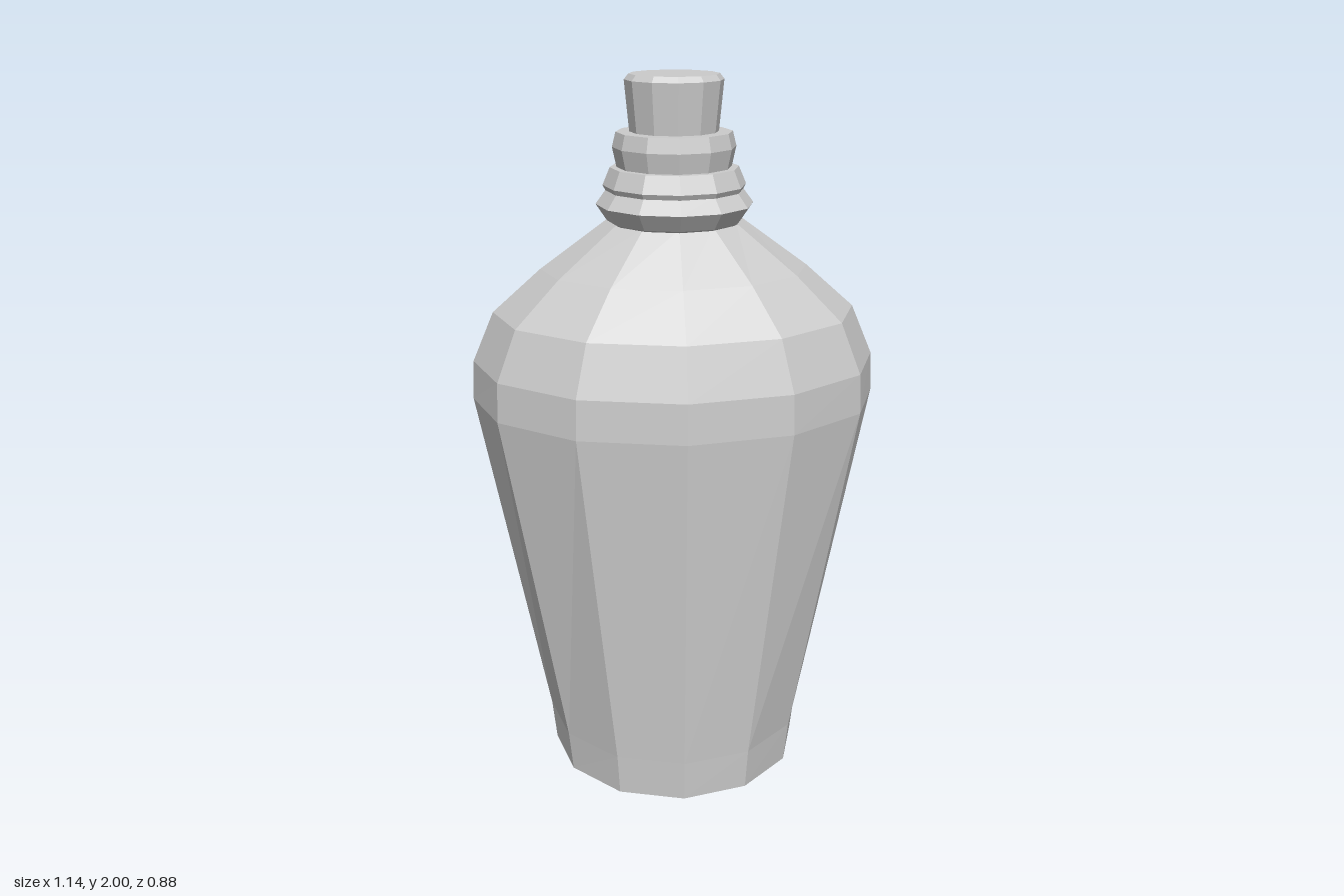
import * as THREE from 'three';

const SIDES = 12;

// Lofts twelve-sided elliptical rings [y, radiusX, radiusZ, centreZ] and closes both ends.
function loft(name, rings) {
  const positions = [];
  const index = [];
  for (const [y, rx, rz = rx, cz = 0] of rings) {
    for (let j = 0; j < SIDES; j++) {
      const a = (j / SIDES) * Math.PI * 2;
      positions.push(rx * Math.cos(a), y, cz + rz * Math.sin(a));
    }
  }
  for (let i = 0; i < rings.length - 1; i++) {
    for (let j = 0; j < SIDES; j++) {
      const k = (j + 1) % SIDES;
      const a = i * SIDES + j, b = i * SIDES + k;
      index.push(a, a + SIDES, b, b, a + SIDES, b + SIDES);
    }
  }
  const top = (rings.length - 1) * SIDES;
  for (let j = 1; j < SIDES - 1; j++) {
    index.push(0, j, j + 1);
    index.push(top, top + j + 1, top + j);
  }
  const geometry = new THREE.BufferGeometry();
  geometry.setAttribute('position', new THREE.Float32BufferAttribute(positions, 3));
  geometry.setIndex(index);
  geometry.computeVertexNormals();
  const mesh = new THREE.Mesh(
    geometry,
    new THREE.MeshStandardMaterial({ color: 0xcccccc, flatShading: true })
  );
  mesh.name = name;
  return mesh;
}

export function createModel() {
  const group = new THREE.Group();
  group.name = 'bottle';

  // Round foot widening into an oval shoulder
  group.add(loft('body', [
    [0, 0.365, 0.365],
    [0.12, 0.378, 0.372],
    [1.11, 0.57, 0.44],
    [1.22, 0.565, 0.435],
    [1.36, 0.505, 0.39],
    [1.48, 0.37, 0.29],
    [1.615, 0.185, 0.17],
  ]));

  // Flared lower collar
  group.add(loft('lowerCollar', [
    [1.61, 0.175, 0.175, 0.015],
    [1.615, 0.185, 0.185, 0.015],
    [1.66, 0.215, 0.215, 0.017],
    [1.70, 0.185, 0.185, 0.012],
  ]));

  // Upper collar
  group.add(loft('upperCollar', [
    [1.69, 0.185, 0.185, 0.012],
    [1.71, 0.195, 0.195, 0.012],
    [1.757, 0.175, 0.175, 0.01],
  ]));

  // Neck band
  group.add(loft('neckBand', [
    [1.75, 0.155, 0.155, 0.006],
    [1.81, 0.168, 0.168, 0.005],
    [1.85, 0.158, 0.158, 0.005],
  ]));

  // Stopper with a bevelled top edge
  group.add(loft('stopper', [
    [1.84, 0.12],
    [1.985, 0.134],
    [2, 0.122],
  ]));

  return group;
}
